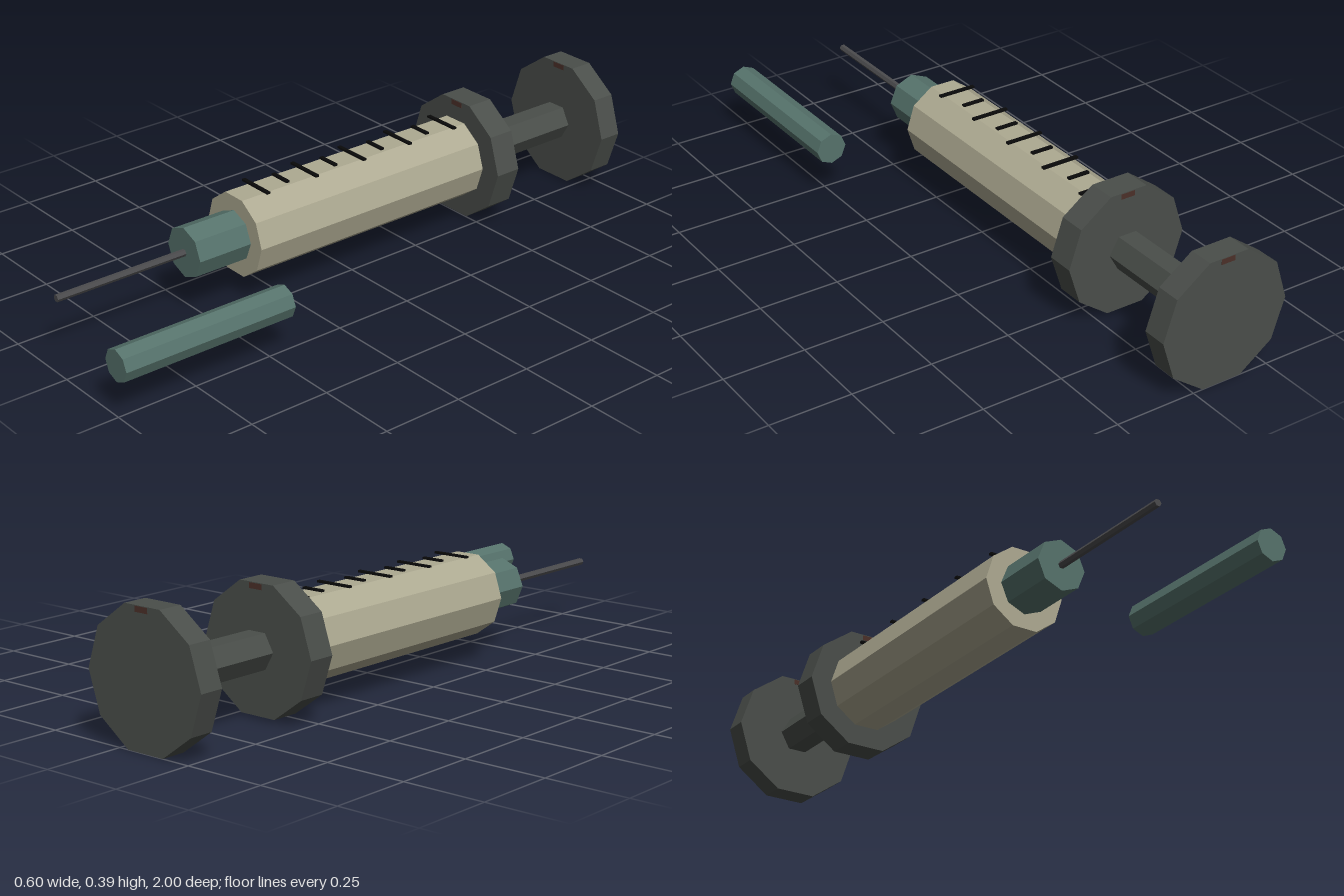
import * as THREE from 'three';

const flat = (name, color) => {
  const m = new THREE.MeshStandardMaterial({ color });
  m.name = name;
  m.flatShading = true;
  return m;
};

export function createModel() {
  const model = new THREE.Group();
  model.name = 'syringe';

  const darkGrey = flat('dark grey', 0x4a4e4a);
  const beige = flat('beige', 0xaeaa92);
  const teal = flat('teal', 0x56736c);
  const steel = flat('steel', 0x4b4b4d);
  const black = flat('black', 0x0a0a0a);
  const rust = flat('rust', 0x4c3029);

  const axisX = -0.095, axisY = 0.198;

  // Faceted prism lying along z from z0 to z1, with a corner on the x axis
  function prism(name, material, radius, sides, z0, z1, x = axisX, y = axisY) {
    const geo = new THREE.CylinderGeometry(radius, radius, z1 - z0, sides, 1, false, Math.PI / 2);
    geo.rotateX(Math.PI / 2);
    const mesh = new THREE.Mesh(geo, material);
    mesh.name = name;
    mesh.position.set(x, y, (z0 + z1) / 2);
    model.add(mesh);
  }

  function box(name, material, w, h, d, x, y, z) {
    const mesh = new THREE.Mesh(new THREE.BoxGeometry(w, h, d), material);
    mesh.name = name;
    mesh.position.set(x, y, z);
    model.add(mesh);
  }

  // Plunger, barrel and needle along one axis
  prism('plungerDisc', darkGrey, 0.206, 10, -1, -0.925);
  prism('plungerRod', darkGrey, 0.059, 6, -0.925, -0.575);
  prism('fingerFlange', darkGrey, 0.196, 10, -0.575, -0.49);
  prism('barrel', beige, 0.128, 10, -0.49, 0.358);
  prism('needleHub', teal, 0.078, 8, 0.358, 0.535);
  prism('needle', steel, 0.011, 6, 0.535, 0.96);

  // Loose needle cap lying beside the barrel
  prism('needleCap', teal, 0.049, 8, 0.445, 1, 0.251, 0.159);

  // Alternating long and short scale marks just above the barrel
  for (let i = 0; i < 9; i++) {
    const width = i % 2 === 0 ? 0.12 : 0.07;
    box('scaleMark', black, width, 0.006, 0.012, axisX, 0.327, -0.433 + i * 0.0888);
  }

  // Small rust patches at the top edge of both discs, front and back
  for (const [top, back, front] of [[0.393, -1, -0.925], [0.383, -0.575, -0.49]]) {
    for (const z of [back, front]) {
      box('rustPatch', rust, 0.045, 0.016, 0.002, axisX + 0.003, top - 0.009, z);
    }
  }

  return model;
}
